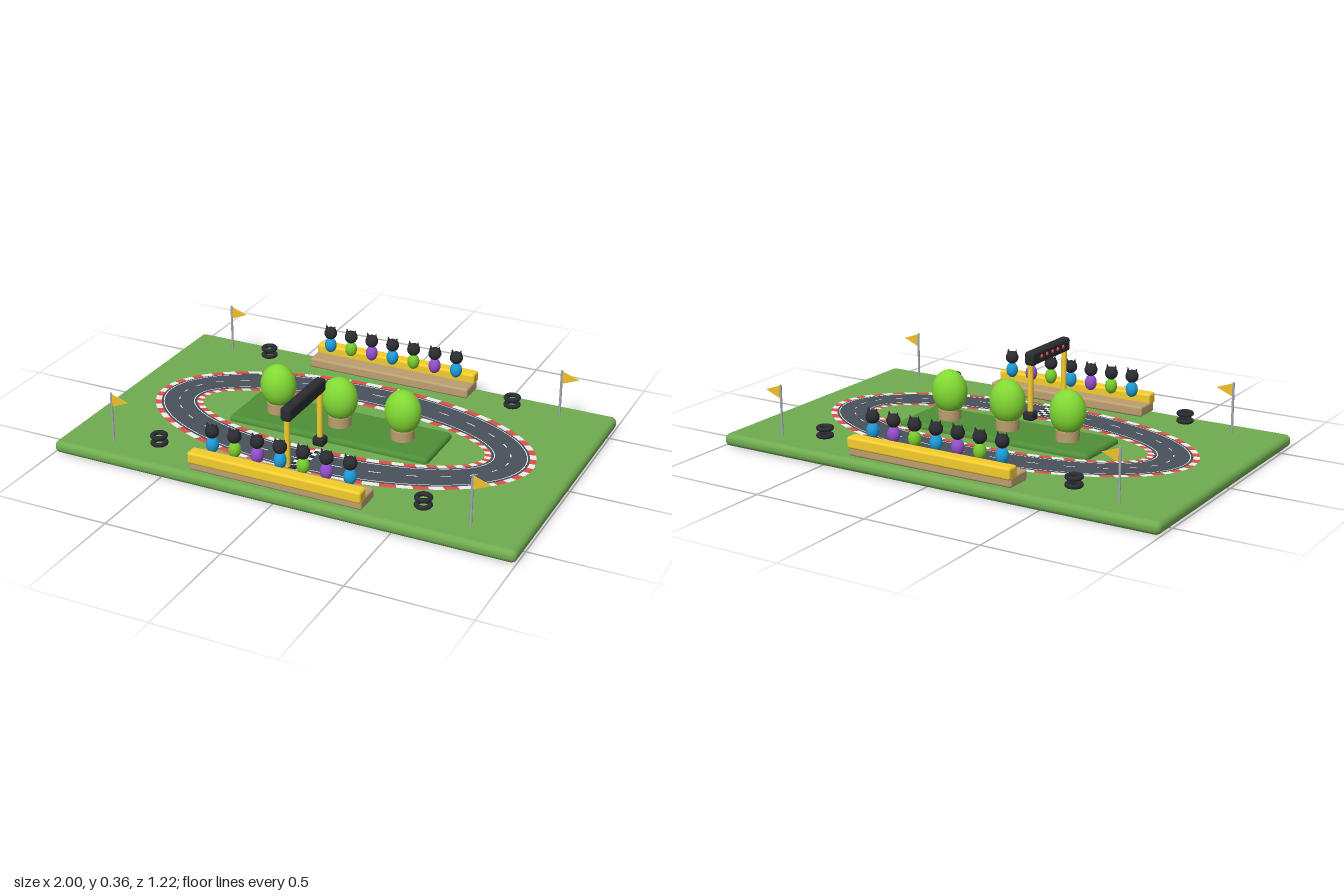
import * as THREE from 'three';
import { RoundedBoxGeometry } from 'three/addons/geometries/RoundedBoxGeometry.js';

const mat = (color, opts = {}) => new THREE.MeshStandardMaterial({ color, ...opts });
const M = {
  grass: mat(0x70ac50), island: mat(0x4f8f37), asphalt: mat(0x48515b), white: mat(0xeceeea),
  red: mat(0xe64c48), yellow: mat(0xf5cd2e), wood: mat(0xbd9f70), leaf: mat(0x82d934),
  dark: mat(0x2a2c31), steel: mat(0xa4abb0), blue: mat(0x1e9bd8), green: mat(0x78cc2e),
  purple: mat(0x9150cc), flag: mat(0xf0c22c, { side: THREE.DoubleSide }),
};

function add(parent, name, geometry, material, x = 0, y = 0, z = 0) {
  const mesh = new THREE.Mesh(geometry, material);
  mesh.name = name;
  mesh.position.set(x, y, z);
  parent.add(mesh);
  return mesh;
}

const block = (w, h, d, r) => new RoundedBoxGeometry(w, h, d, 3, r);

// Flat strip facing up between two concentric ellipses; keep(i) picks the drawn segments
function ellipseBand([ax, az], [bx, bz], segments, keep = () => true, steps = 2) {
  const pos = [], normal = [], index = [];
  for (let i = 0; i < segments; i++) {
    if (!keep(i)) continue;
    for (let s = 0; s <= steps; s++) {
      const t = ((i + s / steps) / segments) * Math.PI * 2;
      const c = Math.cos(t), n = Math.sin(t), k = pos.length / 3;
      pos.push(ax * c, 0, az * n, bx * c, 0, bz * n);
      normal.push(0, 1, 0, 0, 1, 0);
      if (s < steps) index.push(k, k + 2, k + 1, k + 1, k + 2, k + 3);
    }
  }
  const g = new THREE.BufferGeometry();
  g.setAttribute('position', new THREE.Float32BufferAttribute(pos, 3));
  g.setAttribute('normal', new THREE.Float32BufferAttribute(normal, 3));
  g.setIndex(index);
  return g;
}

function createTrack() {
  const track = new THREE.Group();
  track.name = 'track';
  add(track, 'asphalt', ellipseBand([0.655, 0.235], [0.825, 0.412], 96), M.asphalt, 0, 0.06);

  // Striped kerbs
  const kerbs = [['outerKerb', [0.819, 0.404], [0.845, 0.43], 72], ['innerKerb', [0.636, 0.217], [0.662, 0.243], 72]];
  for (const [name, inner, outer, n] of kerbs) {
    add(track, name + 'Red', ellipseBand(inner, outer, n, (i) => i % 2 === 0), M.red, 0, 0.063);
    add(track, name + 'White', ellipseBand(inner, outer, n, (i) => i % 2 === 1), M.white, 0, 0.063);
  }

  // Edge lines and dashed centre line
  add(track, 'outerLine', ellipseBand([0.806, 0.391], [0.81, 0.395], 96), M.white, 0, 0.064);
  add(track, 'innerLine', ellipseBand([0.673, 0.254], [0.677, 0.258], 96), M.white, 0, 0.064);
  add(track, 'centreDashes', ellipseBand([0.738, 0.324], [0.743, 0.329], 84, (i) => i % 3 === 0), M.white, 0, 0.066);

  // Chequered start line
  const cell = new THREE.PlaneGeometry(0.02, 0.02).rotateX(-Math.PI / 2);
  for (let i = 0; i < 3; i++) {
    for (let j = 0; j < 8; j++) {
      add(track, 'startSquare', cell, (i + j) % 2 ? M.white : M.dark, (i - 1) * 0.02, 0.068, 0.254 + j * 0.02);
    }
  }
  return track;
}

// Row of seated spectators on a two-step stand
function createStand(side) {
  const stand = new THREE.Group();
  stand.name = side > 0 ? 'frontStand' : 'backStand';
  add(stand, 'lowerStep', block(0.75, 0.045, 0.118, 0.01), M.wood, 0, 0.082, side * 0.529);
  add(stand, 'bench', block(0.75, 0.049, 0.058, 0.01), M.yellow, 0, 0.1175, side * 0.571);

  const body = new THREE.SphereGeometry(1, 20, 14).scale(0.026, 0.034, 0.026);
  const head = new THREE.SphereGeometry(0.028, 20, 14);
  const ear = new THREE.ConeGeometry(0.012, 0.03, 12);
  const shirts = [M.blue, M.green, M.purple];
  for (let i = 0; i < 7; i++) {
    const person = new THREE.Group();
    person.name = 'spectator';
    person.position.set((i - 3) * 0.0995, 0, side * 0.526);
    add(person, 'body', body, shirts[i % 3], 0, 0.16);
    add(person, 'head', head, M.dark, 0, 0.217);
    for (const s of [-1, 1]) add(person, 'ear', ear, M.dark, s * 0.018, 0.24).rotation.z = -s * 0.2;
    stand.add(person);
  }
  return stand;
}

// Start gantry spanning the front straight
function createGantry() {
  const gantry = new THREE.Group();
  gantry.name = 'startGantry';
  for (const z of [0.183, 0.465]) {
    add(gantry, 'postFoot', block(0.05, 0.038, 0.05, 0.01), M.dark, 0, 0.085, z);
    add(gantry, 'post', new THREE.CylinderGeometry(0.012, 0.012, 0.24, 16), M.yellow, 0, 0.19, z);
  }
  add(gantry, 'beam', block(0.045, 0.06, 0.318, 0.014), M.dark, 0, 0.332, 0.325);
  const lamp = new THREE.SphereGeometry(0.009, 12, 8);
  for (let i = 0; i < 5; i++) add(gantry, 'lamp', lamp, M.red, -0.021, 0.334, 0.234 + i * 0.045);
  return gantry;
}

function createTree(x) {
  const tree = new THREE.Group();
  tree.name = 'tree';
  tree.position.x = x;
  add(tree, 'trunk', new THREE.CylinderGeometry(0.049, 0.049, 0.05, 24), M.wood, 0, 0.094);
  add(tree, 'crown', new THREE.SphereGeometry(1, 32, 20).scale(0.077, 0.093, 0.067), M.leaf, 0, 0.193);
  return tree;
}

function createFlag(x, z) {
  const flag = new THREE.Group();
  flag.name = 'cornerFlag';
  flag.position.set(x, 0, z);
  add(flag, 'pole', new THREE.CylinderGeometry(0.005, 0.005, 0.216, 10), M.steel, 0, 0.16);
  const cloth = new THREE.Shape([[0, 0.265], [0, 0.207], [0.075, 0.238]].map((p) => new THREE.Vector2(...p)));
  const g = new THREE.ExtrudeGeometry(cloth, { depth: 0.004, bevelEnabled: false });
  add(flag, 'pennant', g, M.flag, 0, 0, -0.002);
  return flag;
}

export function createModel() {
  const model = new THREE.Group();
  model.name = 'raceTrackDiorama';

  // Ground and raised infield
  add(model, 'ground', block(2, 0.053, 1.22, 0.024), M.grass, 0, 0.0265);
  add(model, 'infield', block(0.897, 0.044, 0.27, 0.018), M.island, 0, 0.054);

  model.add(createTrack(), createGantry(), createStand(1), createStand(-1));
  for (const x of [-0.283, 0, 0.283]) model.add(createTree(x));

  // Flags and tyre stacks at the four corners
  const tyre = new THREE.TorusGeometry(0.027, 0.0095, 12, 28).rotateX(Math.PI / 2);
  for (const sx of [-1, 1]) {
    for (const sz of [-1, 1]) {
      model.add(createFlag(sx * 0.78, sz * 0.496));
      const stack = new THREE.Group();
      stack.name = 'tyreStack';
      stack.position.set(sx * 0.578, 0, sz * 0.472);
      for (const y of [0.08, 0.111]) add(stack, 'tyre', tyre, M.dark, 0, y);
      model.add(stack);
    }
  }
  return model;
}
